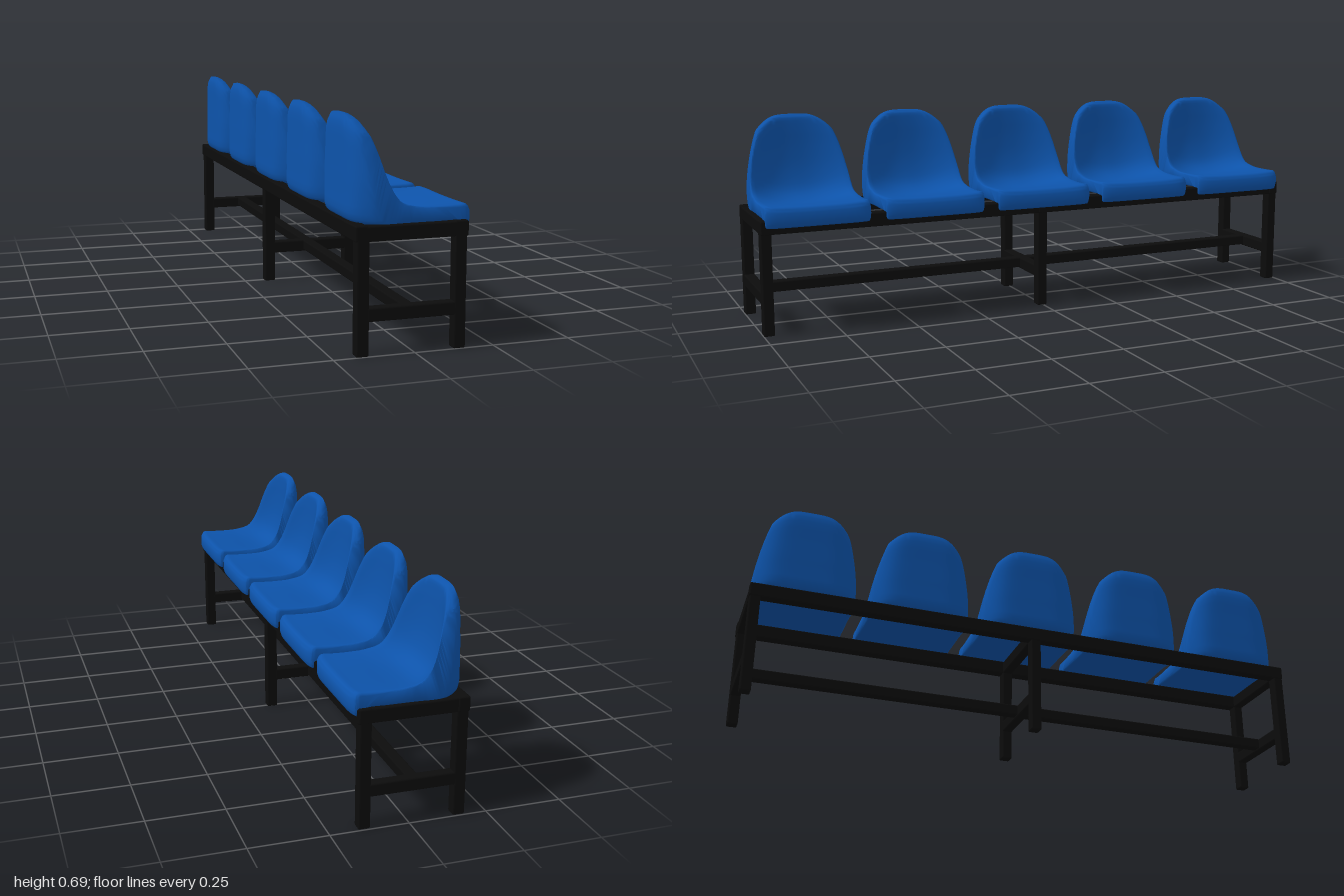
import * as THREE from 'three';
import { toCreasedNormals } from 'three/addons/utils/BufferGeometryUtils.js';
import { RoundedBoxGeometry } from 'three/addons/geometries/RoundedBoxGeometry.js';

const bluePlastic = new THREE.MeshStandardMaterial({ color: 0x0d53aa });
bluePlastic.name = 'blue plastic';
const blackSteel = new THREE.MeshStandardMaterial({ color: 0x0c0c0c });
blackSteel.name = 'black steel';

const N = 36; // points along each side profile
const curve = (pts) =>
  new THREE.CatmullRomCurve3(pts.map(([x, y]) => new THREE.Vector3(x, y, 0)), false, 'centripetal');

// Side profiles of the shell, from the front lip to the top of the back
const hollow = curve([[0.183, 0.405], [0.172, 0.422], [0.14, 0.42], [0.07, 0.412], [0, 0.403], [-0.06, 0.404],
  [-0.105, 0.43], [-0.13, 0.49], [-0.142, 0.57], [-0.147, 0.65], [-0.152, 0.682], [-0.162, 0.69]]);
const wing = curve([[0.183, 0.41], [0.172, 0.427], [0.14, 0.427], [0.07, 0.426], [0.01, 0.43], [-0.035, 0.447],
  [-0.06, 0.485], [-0.08, 0.54], [-0.098, 0.61], [-0.113, 0.66], [-0.125, 0.682], [-0.14, 0.69]]);
const under = curve([[0.183, 0.375], [0.176, 0.358], [0.166, 0.36], [0.15, 0.378], [0.07, 0.38], [-0.06, 0.378],
  [-0.155, 0.375], [-0.178, 0.39], [-0.182, 0.46], [-0.182, 0.57], [-0.181, 0.665], [-0.172, 0.69]]);

// Closed slice of the shell at s = -1..1 across its width
function slice(s, inset) {
  const a = Math.abs(s), top = [], bottom = [];
  for (let i = 0; i <= N; i++) {
    const u = i / N;
    const p = hollow.getPoint(u).lerp(wing.getPoint(u), a ** 2.5);
    const q = under.getPoint(u);
    const t = Math.max(0, (q.y - 0.38) / 0.31);
    q.x += 0.07 * (1 - 0.65 * t) * a ** 6 * THREE.MathUtils.smoothstep(-q.x, 0.0, 0.17);
    q.x -= 0.012 * a ** 8 * THREE.MathUtils.smoothstep(q.x, 0.1, 0.18);
    p.x -= 0.012 * a ** 8 * THREE.MathUtils.smoothstep(p.x, 0.1, 0.18);
    const d = q.clone().sub(p);
    d.setLength(Math.min(inset, d.length() * 0.4));
    p.add(d);
    q.sub(d);
    for (const v of [p, q]) {
      if (v.y > 0.43) v.y = 0.43 + (v.y - 0.43) * (1 - 0.2 * a ** 4);
      const h = Math.max(0, (v.y - 0.43) / 0.26);
      v.z = s * (0.175 - 0.06 * h ** 1.6);
    }
    top.push(p);
    bottom.unshift(q);
  }
  return [...top, ...bottom];
}

function shellGeometry() {
  const rows = [], positions = [], index = [];
  const M = 24, ring = 2 * (N + 1);
  rows.push(slice(-1, 0.009), slice(-0.99, 0.004));
  for (let k = 0; k <= M; k++) rows.push(slice(0.965 * (2 * k / M - 1), 0));
  rows.push(slice(0.99, 0.004), slice(1, 0.009));
  rows.forEach((r) => r.forEach((v) => positions.push(v.x, v.y, v.z)));
  const last = (rows.length - 1) * ring;
  for (let k = 0; k < rows.length - 1; k++) {
    for (let j = 0; j < ring; j++) {
      const a = k * ring + j, b = k * ring + (j + 1) % ring;
      index.push(a, b, b + ring, a, b + ring, a + ring);
    }
  }
  // Side caps: join the upper and lower halves of the end slices
  for (let i = 0; i < N; i++) {
    const a = i, b = i + 1, c = ring - 2 - i, d = ring - 1 - i;
    index.push(a, c, b, a, d, c);
    index.push(last + a, last + b, last + c, last + a, last + c, last + d);
  }
  const g = new THREE.BufferGeometry();
  g.setAttribute('position', new THREE.Float32BufferAttribute(positions, 3));
  g.setIndex(index);
  return toCreasedNormals(g, 0.9);
}

export function createModel() {
  const model = new THREE.Group();
  model.name = 'seatingBench';

  // Square tube given by its limits on each axis
  const bar = (name, [x0, x1], [y0, y1], [z0, z1]) => {
    const mesh = new THREE.Mesh(new RoundedBoxGeometry(x1 - x0, y1 - y0, z1 - z0, 2, 0.005), blackSteel);
    mesh.position.set((x0 + x1) / 2, (y0 + y1) / 2, (z0 + z1) / 2);
    mesh.name = name;
    model.add(mesh);
  };

  // Three leg frames
  for (const z of [-0.978, 0.004, 0.982]) {
    const depth = [z - 0.018, z + 0.018];
    bar('backLeg', [-0.181, -0.142], [0, 0.36], depth);
    bar('frontLeg', [0.122, 0.16], [0, 0.36], depth);
    bar('lowerCrossbar', [-0.15, 0.13], [0.102, 0.143], depth);
    bar('upperCrossbar', [-0.184, 0.165], [0.336, 0.381], depth);
  }

  // Long rails
  bar('backRail', [-0.185, -0.146], [0.336, 0.383], [-0.998, 1]);
  bar('frontRail', [0.122, 0.163], [0.336, 0.383], [-0.998, 1]);
  bar('lowerRail', [-0.035, 0.003], [0.107, 0.143], [-0.98, 0.98]);

  // Five bucket seats
  const shell = shellGeometry();
  for (let i = -2; i <= 2; i++) {
    const seat = new THREE.Mesh(shell, bluePlastic);
    seat.name = 'seat';
    seat.position.z = i * 0.405;
    model.add(seat);
  }
  return model;
}
